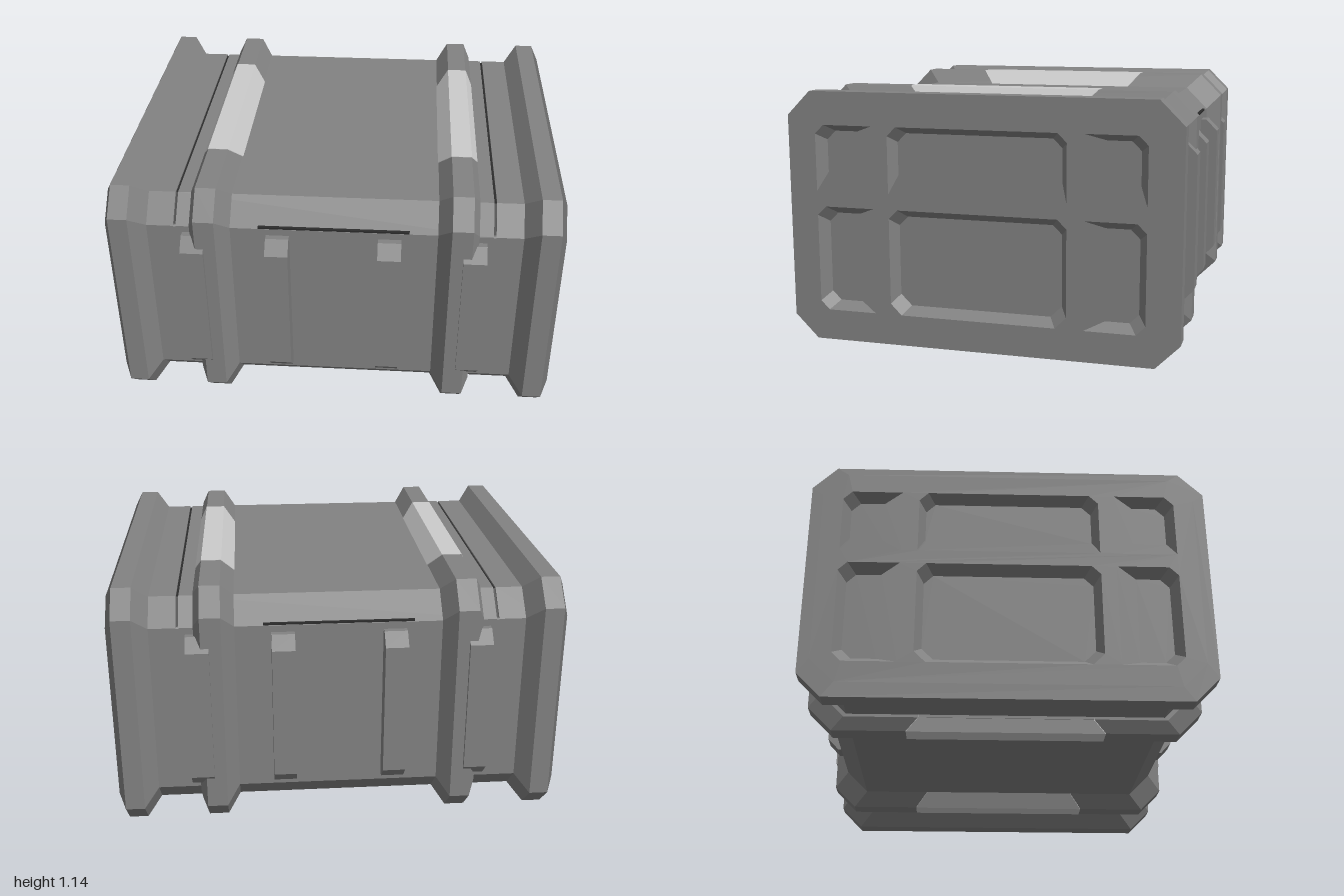
import * as THREE from 'three';

const CY = 0.5675; // mid height of the crate
const shell = new THREE.MeshStandardMaterial({ color: 0x828282 });
const pale = new THREE.MeshStandardMaterial({ color: 0xcccccc });
const dark = new THREE.MeshStandardMaterial({ color: 0x2c2c2c });

// Rectangle with cut corners, counter-clockwise; cuts = [bottomLeft, bottomRight, topRight, topLeft]
function cutRect(u0, u1, v0, v1, [bl, br, tr, tl]) {
  return [
    [u0, v0 + bl], [u0 + bl, v0], [u1 - br, v0], [u1, v0 + br],
    [u1, v1 - tr], [u1 - tr, v1], [u0 + tl, v1], [u0, v1 - tl],
  ];
}

// Octagonal crate section, shrunk by an inset from the widest rim
function octagon(inset) {
  const u = 0.885 - inset, v = CY - inset;
  return cutRect(-u, u, CY - v, CY + v, [0.108, 0.108, 0.108, 0.108]);
}

// Skin a list of [outline, position along the crate], optionally closing the ends,
// then turn it so that its axis runs along x
function loft(rings, capped) {
  const pos = [];
  const put = (k, i) => {
    const [ring, w] = rings[k];
    const p = ring[i % ring.length];
    pos.push(p[0], p[1], w);
  };
  const n = rings[0][0].length, last = rings.length - 1;
  for (let k = 0; k < last; k++) {
    for (let i = 0; i < n; i++) {
      put(k, i); put(k, i + 1); put(k + 1, i + 1);
      put(k, i); put(k + 1, i + 1); put(k + 1, i);
    }
  }
  if (capped) {
    for (let i = 1; i < n - 1; i++) {
      put(0, 0); put(0, i + 1); put(0, i);
      put(last, 0); put(last, i); put(last, i + 1);
    }
  }
  const g = new THREE.BufferGeometry();
  g.setAttribute('position', new THREE.Float32BufferAttribute(pos, 3));
  g.computeVertexNormals();
  return g.rotateY(Math.PI / 2);
}

// Gentle slopes share the normal of the end panel, so they shade as one soft surface
function soften(geometry) {
  const normal = geometry.attributes.normal;
  for (let i = 0; i < normal.count; i++) {
    if (normal.getX(i) > 0.8) normal.setXYZ(i, 1, 0, 0);
  }
  return geometry;
}

function add(parent, name, geometry, material = shell) {
  const mesh = new THREE.Mesh(geometry, material);
  mesh.name = name;
  parent.add(mesh);
  return mesh;
}

// Recessed windows of an end panel: opening outline and smaller floor outline
function endWindows() {
  const s = 0.004, c = 0.04, list = [];
  list.push([cutRect(-0.4, 0.4, 0.69, 0.99, [s, s, c, c]), cutRect(-0.37, 0.37, 0.77, 0.96, [s, s, c, c])]);
  list.push([cutRect(-0.4, 0.4, 0.15, 0.625, [0.05, 0.05, c, c]), cutRect(-0.37, 0.37, 0.185, 0.59, [0.05, 0.05, c, c])]);
  for (const right of [true, false]) {
    const side = (a, b, v0, v1, low, high) => right
      ? cutRect(a, b, v0, v1, [s, low, high, s])
      : cutRect(-b, -a, v0, v1, [low, s, s, high]);
    list.push([side(0.47, 0.74, 0.69, 0.99, s, c), side(0.555, 0.705, 0.77, 0.96, s, c)]);
    list.push([side(0.47, 0.74, 0.15, 0.625, c, c), side(0.555, 0.705, 0.185, 0.59, c, c)]);
  }
  return list;
}

// One end of the crate, built towards +x
function buildEnd() {
  const end = new THREE.Group();
  add(end, 'endRim', soften(loft([
    [octagon(0.07), 0.82], [octagon(0), 0.885], [octagon(0), 0.97], [octagon(0.055), 1],
  ])));

  // Panel face with openings, then the sloped walls and floor of each recess
  const toPoints = (ring) => ring.map(([u, v]) => new THREE.Vector2(u, v));
  const face = new THREE.Shape(toPoints(octagon(0.055)));
  for (const [opening, floor] of endWindows()) {
    face.holes.push(new THREE.Path(toPoints(opening)));
    add(end, 'recessWall', soften(loft([[opening, 1], [floor, 0.95]])));
    add(end, 'recessFloor', new THREE.ShapeGeometry(new THREE.Shape(toPoints(floor)))
      .rotateY(Math.PI / 2).translate(0.95, 0, 0));
  }
  add(end, 'endPanel', new THREE.ShapeGeometry(face).rotateY(Math.PI / 2).translate(1, 0, 0));

  // Raised band around the body
  add(end, 'band', loft([
    [octagon(0.07), 0.452], [octagon(0), 0.51], [octagon(0), 0.6], [octagon(0.055), 0.63], [octagon(0.07), 0.63],
  ]));

  // Pale pads wrapped over the top and bottom of the band
  const pad = (u, inset) => cutRect(-u, u, inset - 0.002, 2 * CY - inset + 0.002, [0, 0, 0, 0]);
  add(end, 'bandPad', loft([
    [pad(0.385, 0.07), 0.451], [pad(0.445, 0), 0.509], [pad(0.445, 0), 0.601], [pad(0.39, 0.055), 0.631],
  ]), pale);

  // Body section outside the lid seam
  add(end, 'bodyEnd', loft([[octagon(0.068), 0.703], [octagon(0.068), 0.9]], true));
  return end;
}

export function createModel() {
  const crate = new THREE.Group();
  crate.name = 'crate';

  // Main body; between its sections the lid shows a dark seam above a flush lower core
  add(crate, 'body', loft([[octagon(0.068), -0.692], [octagon(0.068), 0.692]], true));
  const lower = cutRect(-0.817, 0.817, 0.068, 0.96, [0.108, 0.108, 0.004, 0.004]);
  add(crate, 'lowerCore', loft([[lower, -0.75], [lower, 0.75]], true));
  const seam = cutRect(-0.809, 0.809, 0.5, 1.06, [0.004, 0.004, 0.107, 0.107]);
  add(crate, 'lidSeam', loft([[seam, -0.75], [seam, 0.75]], true), dark);

  // Matching ends, turned half way round
  for (const turn of [0, Math.PI]) {
    const end = buildEnd();
    end.name = turn ? 'rightEnd' : 'leftEnd';
    end.rotation.y = turn;
    crate.add(end);
  }

  // Upright ribs with sloped tips, and a thin dark slit under the lid, on front and back
  const ribShape = new THREE.Shape([[0.8, 0.21], [0.845, 0.21], [0.9, 0.268], [0.9, 0.872], [0.845, 0.928], [0.8, 0.928]]
    .map(([z, y]) => new THREE.Vector2(z, y)));
  const ribGeometry = new THREE.ExtrudeGeometry(ribShape, { depth: 0.102, bevelEnabled: false })
    .translate(0, 0, -0.051).rotateY(-Math.PI / 2);
  for (const turn of [0, Math.PI]) {
    const side = new THREE.Group();
    side.name = turn ? 'backSide' : 'frontSide';
    side.rotation.y = turn;
    for (const x of [-0.615, -0.245, 0.245, 0.615]) add(side, 'rib', ribGeometry).position.x = x;
    add(side, 'lidSlit', new THREE.BoxGeometry(0.66, 0.008, 0.02), dark).position.set(0, 0.966, 0.81);
    crate.add(side);
  }
  return crate;
}
